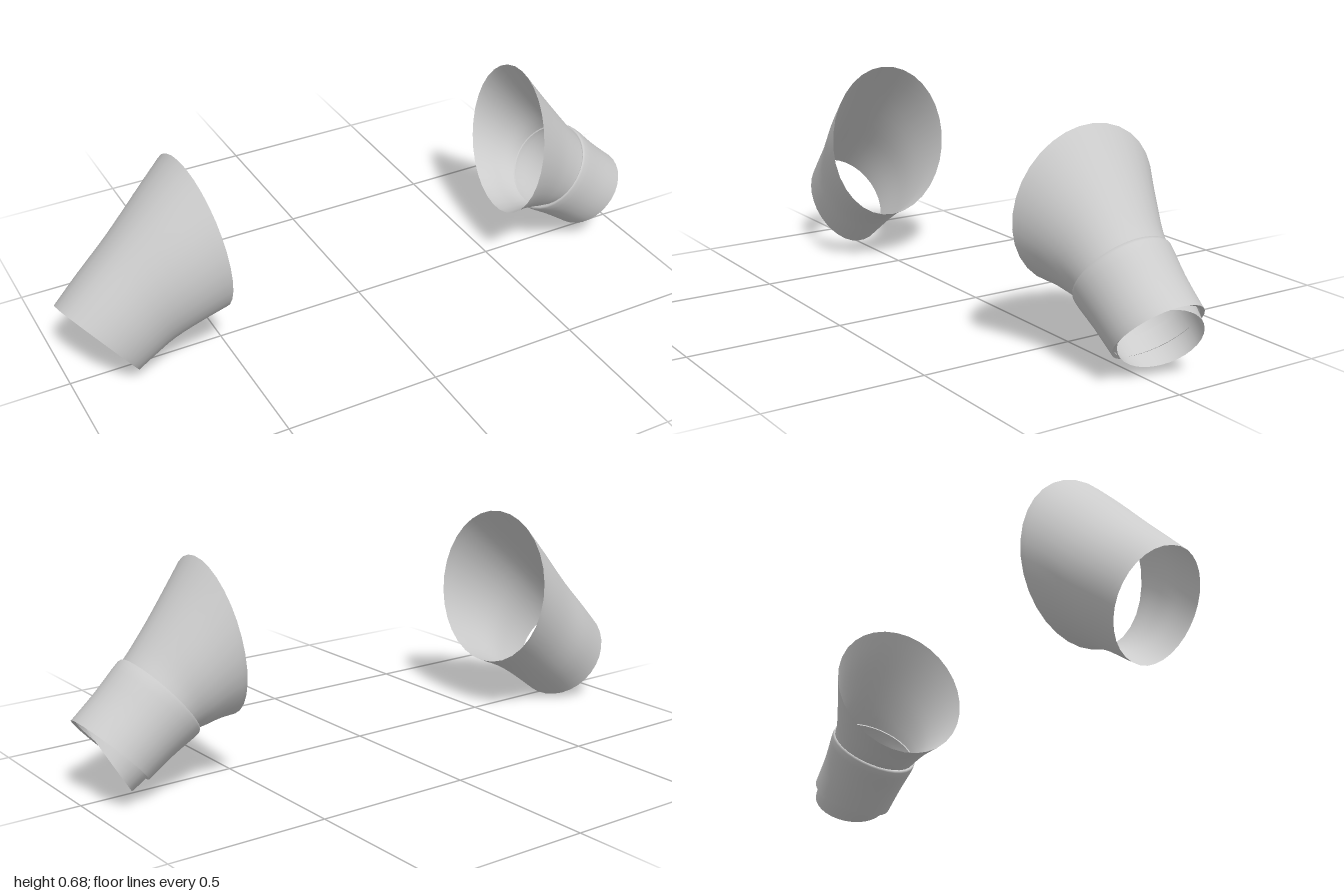
import * as THREE from 'three';

const SEGMENTS = 32;

// Loft through rings. Each ring: [topX, topY, bottomX, bottomY, frontZ, backZ, skewX, skewY]
// The skew moves the front (+) and back (-) of a ring along the sleeve, tilting the opening.
function loft(name, rings, material, steps = 3) {
  const curveRings = [];
  for (let i = 0; i < rings.length - 1; i++) {
    const p0 = rings[Math.max(i - 1, 0)], p1 = rings[i];
    const p2 = rings[i + 1], p3 = rings[Math.min(i + 2, rings.length - 1)];
    for (let s = 0; s < steps; s++) {
      const t = s / steps;
      curveRings.push(p1.map((v, k) => {
        const m1 = (p2[k] - p0[k]) / 2, m2 = (p3[k] - p1[k]) / 2;
        return (2 * t ** 3 - 3 * t * t + 1) * v + (t ** 3 - 2 * t * t + t) * m1
          + (3 * t * t - 2 * t ** 3) * p2[k] + (t ** 3 - t * t) * m2;
      }));
    }
  }
  curveRings.push(rings[rings.length - 1]);

  const positions = [], index = [];
  curveRings.forEach(([tx, ty, bx, by, zf, zb, kx, ky], r) => {
    for (let j = 0; j < SEGMENTS; j++) {
      const a = (j / SEGMENTS) * Math.PI * 2, c = Math.cos(a), s = Math.sin(a);
      positions.push(
        (tx + bx) / 2 + (tx - bx) / 2 * c + kx * s,
        (ty + by) / 2 + (ty - by) / 2 * c + ky * s,
        s > 0 ? zf * s : -zb * s);
      if (r === 0) continue;
      const n = (j + 1) % SEGMENTS, p = (r - 1) * SEGMENTS, q = r * SEGMENTS;
      index.push(p + j, q + j, p + n, p + n, q + j, q + n);
    }
  });
  const geometry = new THREE.BufferGeometry();
  geometry.setAttribute('position', new THREE.Float32BufferAttribute(positions, 3));
  geometry.setIndex(index);
  geometry.computeVertexNormals();
  const mesh = new THREE.Mesh(geometry, material);
  mesh.name = name;
  return mesh;
}

export function createModel() {
  const model = new THREE.Group();
  model.name = 'sleeves';
  const cloth = new THREE.MeshStandardMaterial({ color: 0xcccccc, side: THREE.DoubleSide });
  cloth.name = 'light grey cloth';

  // Right sleeve: one plain flared tube with a slanted wrist opening
  const right = new THREE.Group();
  right.name = 'rightSleeve';
  right.add(loft('rightSleeveBody', [
    [-0.595, 0.68, -0.53, 0.165, 0.225, -0.235, 0.02, 0],
    [-0.70, 0.575, -0.60, 0.135, 0.20, -0.215, 0.01, 0],
    [-0.82, 0.45, -0.67, 0.095, 0.165, -0.195, 0, 0],
    [-0.92, 0.35, -0.735, 0.05, 0.15, -0.18, 0.01, 0.007],
    [-0.997, 0.272, -0.80, 0.002, 0.14, -0.16, 0.026, 0.02],
  ], cloth));

  // Left sleeve: flared upper part, turned-up cuff and inner lining
  const left = new THREE.Group();
  left.name = 'leftSleeve';
  left.add(loft('leftSleeveUpper', [
    [0.60, 0.68, 0.52, 0.19, 0.23, -0.235, -0.022, 0],
    [0.66, 0.60, 0.57, 0.185, 0.195, -0.21, -0.012, 0],
    [0.73, 0.51, 0.61, 0.175, 0.165, -0.185, -0.005, 0],
    [0.79, 0.435, 0.635, 0.17, 0.15, -0.165, 0, 0],
    [0.825, 0.395, 0.65, 0.17, 0.145, -0.158, 0, 0],
  ], cloth));
  left.add(loft('leftCuff', [
    [0.822, 0.392, 0.655, 0.172, 0.142, -0.155, 0, 0],
    [0.838, 0.398, 0.64, 0.155, 0.15, -0.165, 0, 0],
    [0.915, 0.322, 0.72, 0.105, 0.142, -0.152, 0, 0],
    [0.997, 0.25, 0.805, 0.047, 0.137, -0.147, 0, 0],
  ], cloth));
  left.add(loft('leftCuffHem', [
    [0.997, 0.25, 0.805, 0.047, 0.137, -0.147, 0, 0],
    [0.983, 0.245, 0.812, 0.056, 0.127, -0.137, 0, 0],
  ], cloth, 1));
  left.add(loft('leftCuffLining', [
    [0.925, 0.285, 0.765, 0.09, 0.128, -0.138, 0, 0],
    [0.955, 0.262, 0.81, 0.056, 0.127, -0.137, -0.01, 0.01],
    [0.975, 0.235, 0.85, 0.032, 0.122, -0.132, -0.022, 0.02],
  ], cloth));

  model.add(right, left);
  return model;
}
